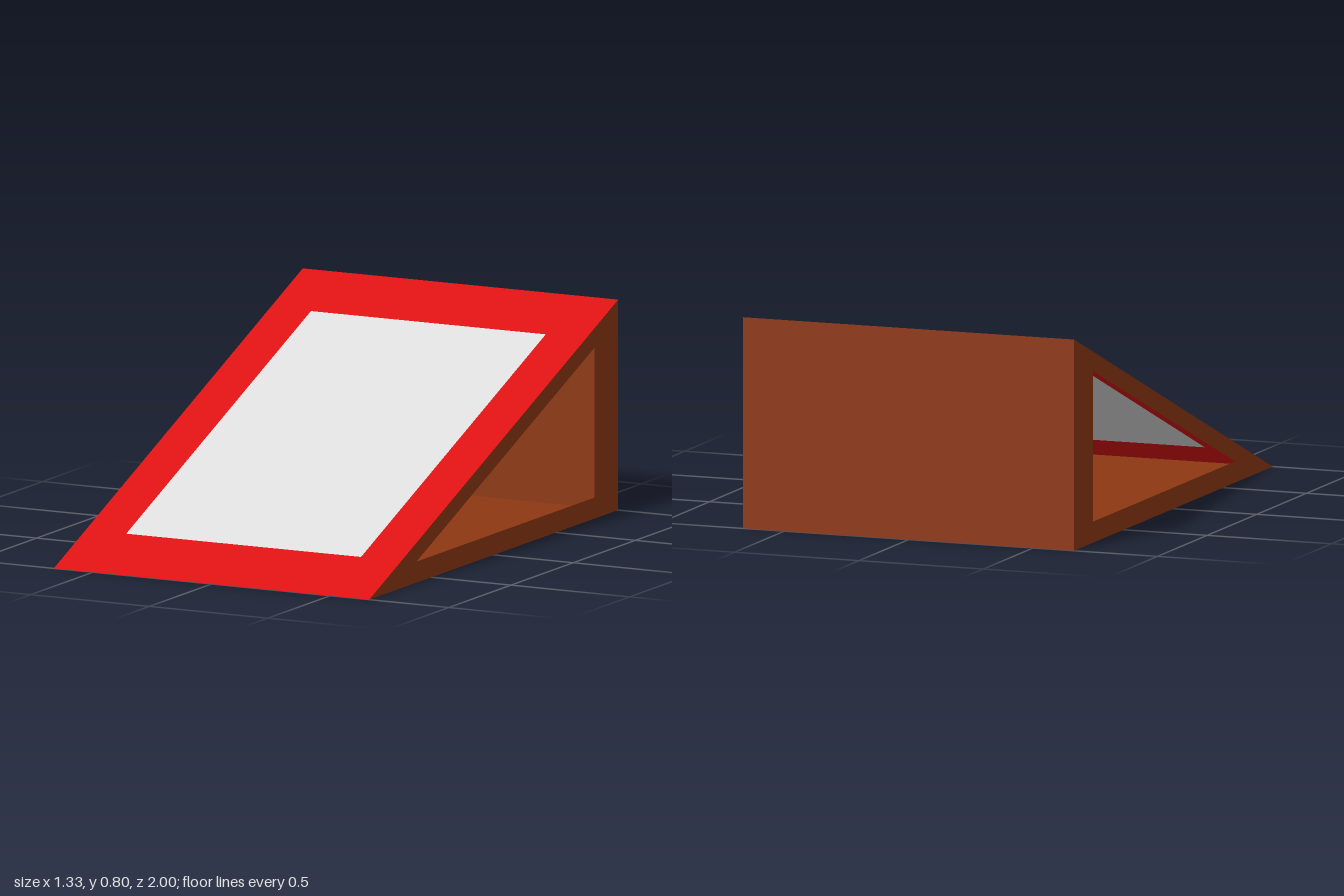
import * as THREE from 'three';

const W = 0.665, H = 0.8, L = 2;

const material = (name, color) =>
  new THREE.MeshStandardMaterial({ name, color, side: THREE.DoubleSide });

const outline = (points) => points.map(([x, y]) => new THREE.Vector2(x, y));
const rect = (w, h) => outline([[-w, -h], [w, -h], [w, h], [-w, h]]);

// Flat sheet in the xy plane with an optional opening
function sheet(name, mat, points, hole) {
  const shape = new THREE.Shape(points);
  if (hole) shape.holes.push(new THREE.Path(hole));
  const mesh = new THREE.Mesh(new THREE.ShapeGeometry(shape), mat);
  mesh.name = name;
  return mesh;
}

export function createModel() {
  const model = new THREE.Group();
  model.name = 'ramp';
  const brown = material('brown wood', 0x8f3813);
  const red = material('red border', 0xdd1010);
  const grey = material('light grey panel', 0xdddddd);

  // Sloping top: red border around a flush grey panel
  const slope = new THREE.Group();
  slope.name = 'slope';
  const half = Math.hypot(L, H) / 2;
  const panel = rect(0.495, half * 0.742);
  slope.add(sheet('slopeBorder', red, rect(W, half), panel));
  slope.add(sheet('slopePanel', grey, panel));
  slope.rotation.x = Math.atan2(H, L) - Math.PI / 2;
  slope.position.y = H / 2;
  model.add(slope);

  // Triangular sides with triangular openings
  const triangle = outline([[-1, 0], [1, 0], [1, H]]);
  const opening = outline([[-0.62, 0.08], [0.81, 0.08], [0.81, 0.65]]);
  for (const [name, s] of [['leftSide', 1], ['rightSide', -1]]) {
    const side = sheet(name, brown, triangle, opening);
    // Mirror the right side so that both face outward
    side.geometry.rotateY(Math.PI / 2);
    side.geometry.translate(W, 0, 0);
    side.scale.x = s;
    model.add(side);
  }

  // Back wall
  const back = sheet('backWall', brown, rect(W, H / 2));
  back.rotation.y = Math.PI;
  back.position.set(0, H / 2, -L / 2);
  model.add(back);

  // Floor
  const floor = sheet('floor', brown, rect(W, L / 2));
  floor.rotation.x = Math.PI / 2;
  model.add(floor);

  return model;
}
